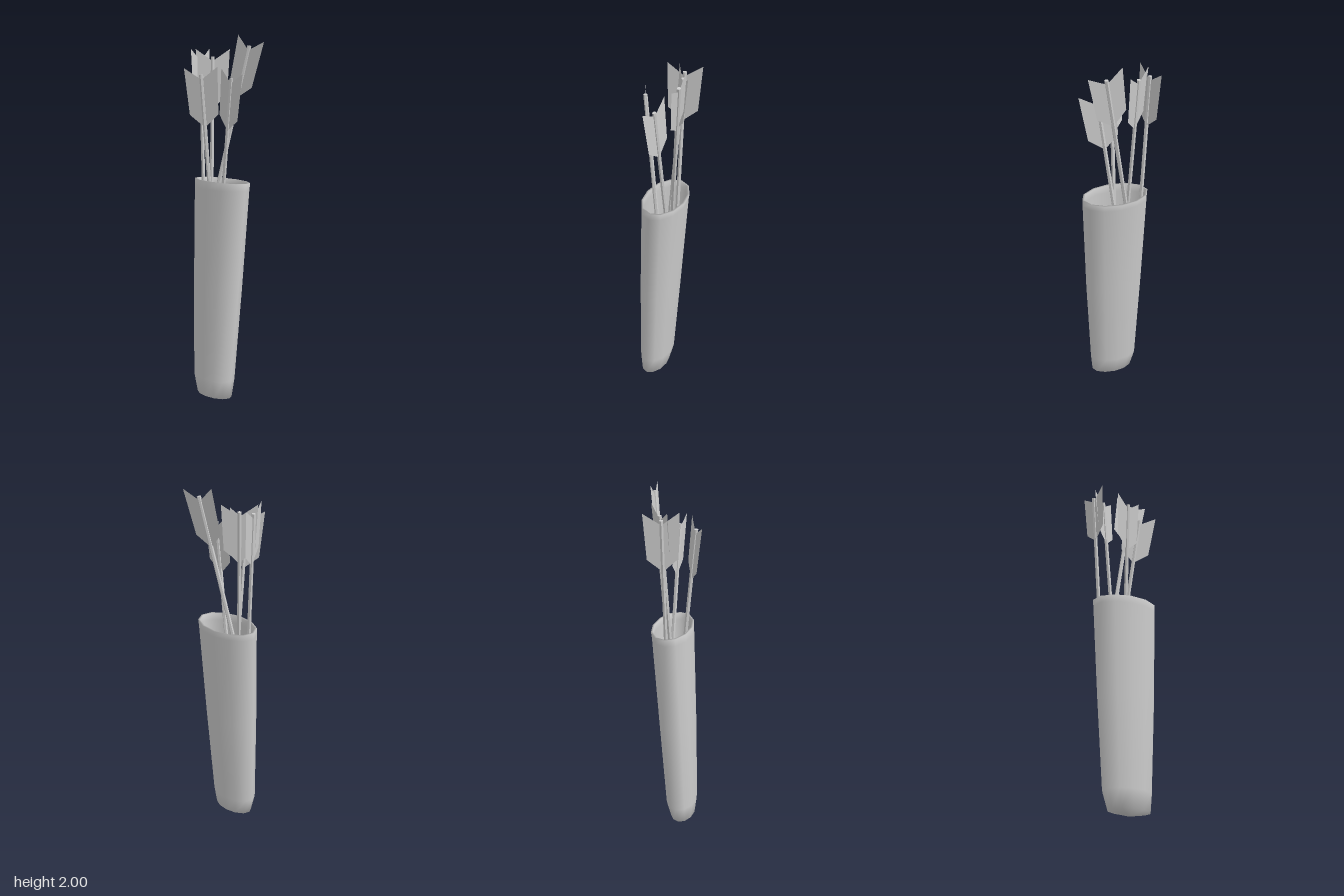
import * as THREE from 'three';

const grey = new THREE.MeshStandardMaterial({ color: 0xcccccc, side: THREE.DoubleSide });
const flatGrey = new THREE.MeshStandardMaterial({ color: 0xcccccc, side: THREE.DoubleSide, flatShading: true });
const SIDES = 12;

// Smooth skin through elliptical rings given as [y, centreX, centreZ, radiusX, radiusZ, tilt]
function loft(rings) {
  const pos = [], index = [];
  for (const [y, cx, cz, rx, rz, tilt = 0] of rings) {
    for (let i = 0; i < SIDES; i++) {
      const a = (i / SIDES) * Math.PI * 2;
      const dz = Math.sin(a) * rz;
      pos.push(cx + Math.cos(a) * rx, y + dz * tilt, cz + dz);
    }
  }
  for (let r = 0; r < rings.length - 1; r++) {
    for (let i = 0; i < SIDES; i++) {
      const j = (i + 1) % SIDES;
      const a = r * SIDES + i, b = r * SIDES + j;
      index.push(a, a + SIDES, b, b, a + SIDES, b + SIDES);
    }
  }
  // Close both ends with a point at the centre of the end ring
  const caps = [[0, 0.005], [rings.length - 1, rings[rings.length - 1][0]]];
  caps.forEach(([r, y], end) => {
    const c = pos.length / 3;
    pos.push(rings[r][1], y, rings[r][2]);
    for (let i = 0; i < SIDES; i++) {
      const a = r * SIDES + i, b = r * SIDES + ((i + 1) % SIDES);
      if (end === 0) index.push(c, a, b);
      else index.push(c, b, a);
    }
  });
  const g = new THREE.BufferGeometry();
  g.setAttribute('position', new THREE.Float32BufferAttribute(pos, 3));
  g.setIndex(index);
  g.computeVertexNormals();
  return g;
}

// One vane outline: x is outward from the shaft, y runs along it with the nock at 0
function vaneShape(side) {
  return new THREE.Shape([
    new THREE.Vector2(0, -0.025),
    new THREE.Vector2(side * 0.093, 0.04),
    new THREE.Vector2(side * 0.08, -0.21),
    new THREE.Vector2(0, -0.28),
  ]);
}

// Arrow from its nock down to its hidden end; across is the direction of the vanes
function makeArrow(nock, end, across) {
  const arrow = new THREE.Group();
  arrow.name = 'arrow';
  const top = new THREE.Vector3(...nock);
  const up = top.clone().sub(new THREE.Vector3(...end));
  const length = up.length();
  up.normalize();
  const x = new THREE.Vector3(...across);
  x.addScaledVector(up, -x.dot(up)).normalize();
  const z = new THREE.Vector3().crossVectors(x, up);

  const shaft = new THREE.Mesh(new THREE.CylinderGeometry(0.011, 0.011, length, 6), flatGrey);
  shaft.name = 'shaft';
  shaft.position.y = -length / 2;
  arrow.add(shaft);
  for (const side of [-1, 1]) {
    const vane = new THREE.Mesh(new THREE.ShapeGeometry(vaneShape(side)), flatGrey);
    vane.name = side < 0 ? 'rightVane' : 'leftVane';
    arrow.add(vane);
  }
  arrow.quaternion.setFromRotationMatrix(new THREE.Matrix4().makeBasis(x, up, z));
  arrow.position.copy(top);
  return arrow;
}

export function createModel() {
  const model = new THREE.Group();
  model.name = 'quiverWithArrows';

  // Hollow quiver: outer wall upwards, over the rim, inner wall down to the floor
  const quiver = new THREE.Mesh(loft([
    [0.03, 0.017, 0.04, 0.118, 0.068],
    [0.13, 0.009, 0.035, 0.136, 0.086],
    [0.65, 0.012, 0.01, 0.162, 0.099],
    [1.19, 0.014, -0.018, 0.182, 0.109],
    [1.228, 0.014, -0.021, 0.184, 0.111, 0.05],
    [1.228, 0.014, -0.021, 0.173, 0.1, 0.05],
    [1.19, 0.014, -0.018, 0.171, 0.098],
    [0.65, 0.012, 0.01, 0.151, 0.088],
    [0.14, 0.009, 0.035, 0.125, 0.075],
    [0.06, 0.017, 0.04, 0.105, 0.056],
  ]), grey);
  quiver.name = 'quiver';
  model.add(quiver);

  // Arrows: nock, lower end, vane direction
  const arrows = [
    [[0.1, 1.95, -0.138], [-0.09, 0.9, 0], [0.18, -0.03, -0.012]],
    [[-0.1, 1.89, -0.058], [-0.047, 0.87, 0.003], [0.14, 0, -0.12]],
    [[-0.17, 1.89, -0.032], [-0.118, 0.87, -0.015], [0.045, 0, 0.17]],
    [[-0.01, 1.8, 0.11], [-0.003, 0.8, 0.018], [0.17, 0, -0.095]],
    [[0.102, 1.78, -0.002], [-0.03, 0.77, -0.033], [0.19, -0.02, 0.024]],
  ];
  for (const a of arrows) model.add(makeArrow(...a));
  return model;
}
